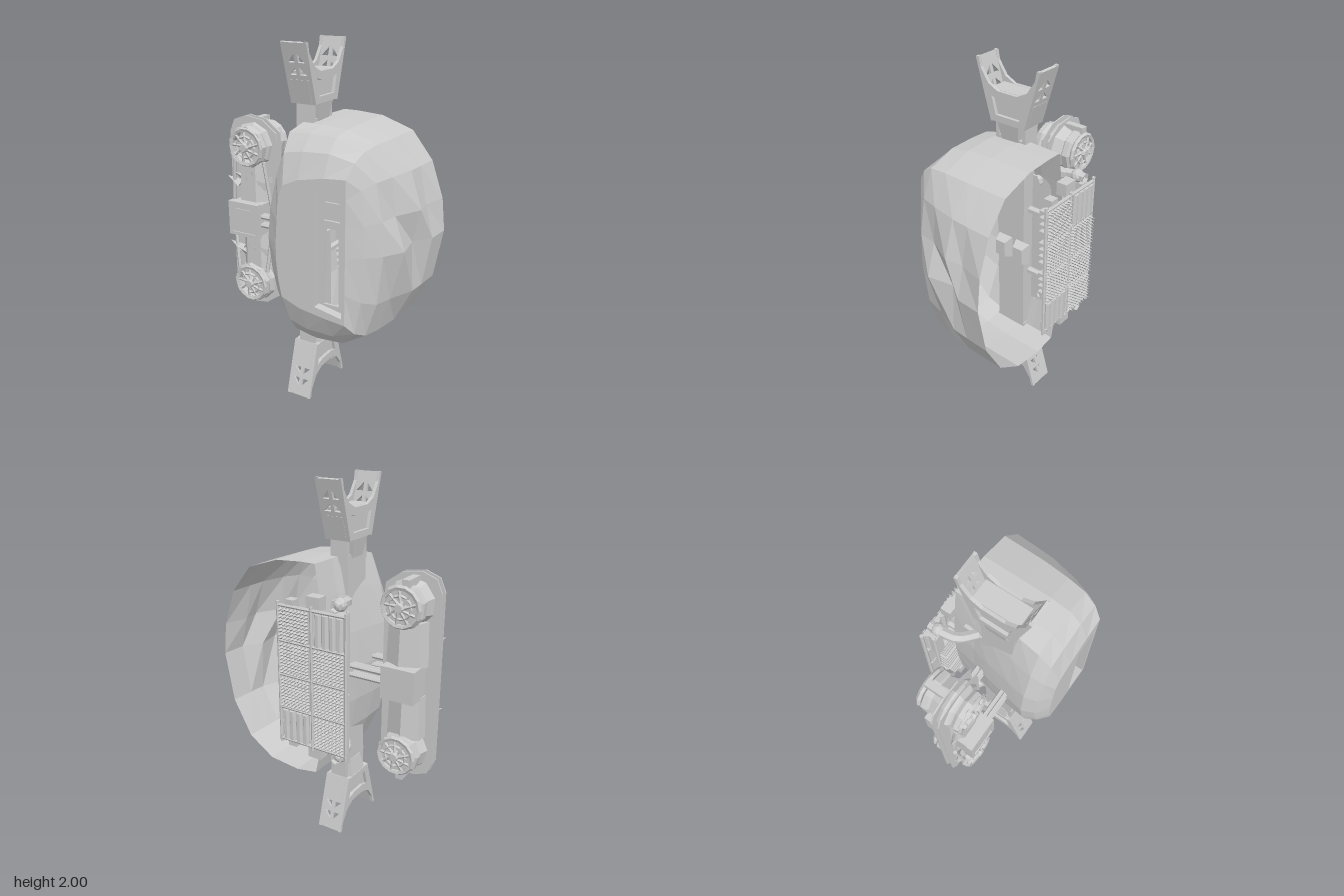
import * as THREE from 'three';
import { mergeGeometries } from 'three/addons/utils/BufferGeometryUtils.js';

const mat = new THREE.MeshStandardMaterial({ color: 0xcccccc, flatShading: true, side: THREE.DoubleSide });
const V = (x, y, z) => new THREE.Vector3(x, y, z);
const toShape = pts => new THREE.Shape(pts.map(p => new THREE.Vector2(...p)));

function add(parent, name, geo, x = 0, y = 0, z = 0) {
  const m = new THREE.Mesh(geo, mat);
  m.name = name;
  m.position.set(x, y, z);
  parent.add(m);
  return m;
}
const box = (parent, name, w, h, d, x, y, z) => add(parent, name, new THREE.BoxGeometry(w, h, d), x, y, z);
function rod(parent, name, a, b, r, sides = 6) {
  const m = add(parent, name, new THREE.CylinderGeometry(r, r, a.distanceTo(b), sides));
  m.position.copy(a).add(b).multiplyScalar(0.5);
  m.quaternion.setFromUnitVectors(V(0, 1, 0), b.clone().sub(a).normalize());
  return m;
}
function plate(pts, depth, holes = []) {
  const s = toShape(pts);
  holes.forEach(h => s.holes.push(toShape(h)));
  return new THREE.ExtrudeGeometry(s, { depth, bevelEnabled: false });
}

// Hollow faceted shell, open at the back, lofted from rim outline to front face
function makeShell() {
  const g = new THREE.Group();
  g.name = 'shell';
  const rim = [[.59, 1], [.57, 1.18], [.5, 1.38], [.38, 1.53], [.2, 1.59], [.05, 1.6], [-.07, 1.6], [-.13, 1.42], [-.18, 1.2],
    [-.2, 1], [-.18, .8], [-.14, .62], [-.05, .42], [.1, .4], [.28, .42], [.43, .52], [.54, .72]];
  const face = [[.32, 1], [.32, 1.15], [.32, 1.3], [.32, 1.4], [.2, 1.39], [.05, 1.36], [-.04, 1.32], [-.07, 1.25], [-.08, 1.13],
    [-.09, 1], [-.09, .9], [-.08, .8], [-.06, .7], [.05, .66], [.2, .64], [.32, .63], [.32, .8]];
  // z, inward blend in x, inward blend in y, bulge of the right-hand wall
  const levels = [[-.26, 0, 0, .5], [-.12, .04, 0, .62], [-.02, .08, 0, .75], [.13, .26, .03, .9],
    [.24, .45, .13, 1], [.31, .7, .45, .85], [.36, 1, 1, 0]];
  const dents = { '2,0': .06, '3,1': .03, '3,0': -.015, '3,16': .02, '1,1': .025 };
  const n = rim.length, pos = [], idx = [];
  levels.forEach(([z, tx, ty, bulge], k) => rim.forEach(([x, y], i) => {
    const lx = x < 0 && tx < 1 ? x * bulge : x + (face[i][0] - x) * tx;
    pos.push(lx - (dents[k + ',' + i] || 0), y + (face[i][1] - y) * ty, z);
    if (k) {
      const a = (k - 1) * n + i, b = (k - 1) * n + (i + 1) % n;
      idx.push(a, b, b + n, a, b + n, a + n);
    }
  }));
  const geo = new THREE.BufferGeometry();
  geo.setAttribute('position', new THREE.Float32BufferAttribute(pos, 3));
  geo.setIndex(idx);
  geo.computeVertexNormals();
  add(g, 'shellWall', geo);

  // Front face with its recessed slot panel
  const recess = [[.14, 1.3], [.29, 1.29], [.305, .66], [.14, .69]];
  const front = toShape(face);
  front.holes.push(toShape(recess));
  add(g, 'frontFace', new THREE.ShapeGeometry(front), 0, 0, .36);
  const lip = toShape(recess);
  lip.holes.push(toShape(recess.map(([x, y]) => [.22 + (x - .22) * .97, 1 + (y - 1) * .99])));
  add(g, 'recessWall', new THREE.ExtrudeGeometry(lip, { depth: .06, bevelEnabled: false }), 0, 0, .3);
  add(g, 'slotPanel', plate(recess, .012, [
    [[.17, 1.26], [.27, 1.26], [.27, 1.16], [.17, 1.16]],
    [[.185, 1.12], [.255, 1.12], [.26, .7], [.17, .7]]]), 0, 0, .3);
  box(g, 'slotBlock', .09, .09, .02, .22, 1.21, .3);
  return g;
}

// Forked foot, drawn upright from the model centre
function makeFork() {
  const g = new THREE.Group();
  const curve = [[.178, 1], [.168, .95], [.12, .88], [.06, .85]];
  const half = [[.105, .69], [.195, 1], ...curve];
  const outline = [...half, ...half.slice().reverse().map(([z, y]) => [-z, y])];
  const flange = plate(outline, .018, [[[-.1, .82], [-.075, .725], [.075, .725], [.1, .82], [.05, .805], [-.05, .805]]]);
  flange.rotateY(-Math.PI / 2);
  add(g, 'forkSide', flange, .075);
  add(g, 'forkSide', flange, -.057);
  const core = plate([[-.1, .69], [.1, .69], [.125, .85], [-.125, .85]], .11);
  core.rotateY(-Math.PI / 2);
  add(g, 'forkCore', core, .055);
  // Sloped outer plates with triangular cut-outs
  const holes = [];
  for (const s of [1, -1]) {
    holes.push([[s * .01, .265], [s * .01, .22], [s * .048, .22]]);
    holes.push([[s * .01, .195], [s * .01, .155], [s * .05, .155]]);
  }
  const outer = plate([[-.075, 0], [.075, 0], [.075, .322], [-.075, .322]], .015, holes);
  outer.rotateX(.283);
  for (const turn of [0, Math.PI]) {
    const side = new THREE.Group();
    side.name = 'forkProng';
    side.rotation.y = turn;
    add(side, 'prongPlate', outer, 0, .69, .092);
    box(side, 'prongPad', .105, .12, .012, 0, .755, .122).rotation.x = .283;
    g.add(side);
  }
  // Ribbed neck
  const neck = new THREE.CylinderGeometry(.106, .08, .1, 4, 1);
  neck.rotateY(Math.PI / 4);
  neck.scale(.95, 1, .9);
  add(g, 'neck', neck, 0, .64);
  for (const z of [-.085, -.03, .03, .085]) box(g, 'neckRib', .1, .13, .022, 0, .63, z);
  box(g, 'post', .1, .62, .18, 0, .3, 0);
  return g;
}

// Wheel-like thruster facing +z
function makeWheel() {
  const g = new THREE.Group();
  g.name = 'wheel';
  add(g, 'wheelRim', new THREE.TorusGeometry(.1, .014, 5, 14));
  add(g, 'wheelInnerRing', new THREE.TorusGeometry(.06, .008, 4, 12), 0, 0, .004);
  const hub = new THREE.CylinderGeometry(.022, .034, .04, 8);
  hub.rotateX(Math.PI / 2);
  add(g, 'wheelHub', hub, 0, 0, .01);
  for (let i = 0; i < 9; i++) {
    const a = i * Math.PI * 2 / 9;
    rod(g, 'wheelSpoke', V(Math.cos(a) * .02, Math.sin(a) * .02, .01), V(Math.cos(a + .3) * .1, Math.sin(a + .3) * .1, 0), .008, 4);
  }
  return g;
}

// Twin pod on struts at the model's right
function makePod() {
  const g = new THREE.Group();
  g.name = 'sidePod';
  const top = [[.155, .44], [.15, .49], [.06, .555], [-.05, .57], [-.13, .54], [-.16, .47]];
  const outline = [...top, ...top.slice().reverse().map(([x, y]) => [x, -y])];
  for (const z of [-.004, .036]) add(g, 'podPlate', plate(outline, .008), 0, 0, z);
  const profile = [[0, -.12], [.09, -.12], [.12, -.1], [.12, -.07], [.108, -.06], [.122, -.02], [.14, .02], [.122, .06],
    [.108, .07], [.12, .09], [.115, .12], [.09, .12], [.085, .09], [0, .09]].map(p => new THREE.Vector2(...p));
  const barrel = new THREE.LatheGeometry(profile, 9);
  barrel.rotateX(Math.PI / 2);
  for (const s of [1, -1]) {
    add(g, 'podBarrel', barrel, 0, s * .41, 0).rotation.z = s * .25;
    const w = makeWheel();
    w.position.set(0, s * .41, .115);
    const back = makeWheel();
    back.position.set(0, s * .41, -.125);
    back.rotation.y = Math.PI;
    g.add(w, back);
    // Tapered body joining the barrel to the middle block
    const body = new THREE.CylinderGeometry(.12, .13, .24, 7);
    body.scale(.95, 1, .8);
    add(g, 'podBody', body, 0, s * .2, 0).rotation.y = s * .4;
    for (let i = 0; i < 6; i++) {
      const x = -.12 + i * .048;
      const spike = add(g, 'podSpike', new THREE.ConeGeometry(.028, .09, 3), x, s * (.2 + .03 * (i % 2)), .08);
      spike.rotation.set(.4, i, (i - 2.5) * -.4);
    }
    rod(g, 'podRail', V(-.13, s * .08, .07), V(-.1, s * .33, .09), .012, 5);
    rod(g, 'podRail', V(.13, s * .08, .07), V(.1, s * .33, .09), .012, 5);
    box(g, 'podCap', .04, .04, .12, -.02, s * .53, -.06);
  }
  // Middle block with raised frame
  box(g, 'middleBlock', .19, .18, .3, 0, 0, .01);
  for (const s of [1, -1]) {
    box(g, 'blockFrame', .02, .2, .035, s * .09, 0, .15);
    box(g, 'blockFrame', .2, .02, .035, 0, s * .09, .15);
  }
  box(g, 'blockFace', .1, .12, .02, 0, 0, .155);
  for (const z of [-.085, -.055, .1, .125]) for (const y of [-.025, .025])
    rod(g, 'strut', V(.08, y, z), V(.34, y, z), .013);
  return g;
}

// Finned radiator bank behind the shell
function makeRadiator() {
  const g = new THREE.Group();
  g.name = 'radiator';
  const spikes = [];
  [-.16, .05].forEach((cx, c) => [-.285, -.095, .095, .285].forEach((cy, r) => {
    const y0 = 1 + cy;
    if ((c === 0 && r === 3) || (c === 1 && r === 0)) {
      for (let i = 0; i < 4; i++) rod(g, 'coolingTube', V(cx - .065 + i * .043, y0 - .085, -.325), V(cx - .065 + i * .043, y0 + .085, -.325), .02, 7);
      return;
    }
    box(g, 'finBase', .18, .17, .015, cx, y0, -.322);
    for (let i = 0; i < 8; i++) for (let j = 0; j < 9; j++) {
      const cone = new THREE.ConeGeometry(.011, .036, 4);
      cone.rotateX(-Math.PI / 2);
      cone.translate(cx - .079 + i * .0226, y0 - .076 + j * .019, -.345);
      spikes.push(cone);
    }
    for (let j = 0; j < 4; j++) box(g, 'coil', .13, .018, .05, cx + (c ? .01 : .04), y0 - .06 + j * .04, -.29);
  }));
  add(g, 'finSpikes', mergeGeometries(spikes));
  for (const x of [-.26, -.055, .15]) rod(g, 'frameUpright', V(x, .6, -.325), V(x, 1.4, -.325), .01);
  for (let r = 0; r < 5; r++) rod(g, 'frameBar', V(-.26, .62 + r * .19, -.325), V(.15, .62 + r * .19, -.325), .009);
  for (const s of [1, -1]) {
    const y = 1 + s * .42;
    box(g, 'endBlock', .08, .07, .06, -.06, y - s * .005, -.29);
    box(g, 'endBlock', .05, .05, .05, .08, y - s * .03, -.3);
    const path = new THREE.CatmullRomCurve3([V(-.19, y, -.32), V(-.19, y, -.25), V(-.17, y - s * .01, -.17), V(-.08, y - s * .04, -.1)]);
    add(g, 'supportArm', new THREE.TubeGeometry(path, 8, .028, 6));
    add(g, 'armJoint', new THREE.IcosahedronGeometry(.037, 1), -.19, y, -.27);
    box(g, 'sideLink', .05, .2, .05, -.21, 1 + s * .28, -.28);
    rod(g, 'sideRod', V(-.235, 1 + s * .05, -.27), V(-.235, y - s * .03, -.27), .01);
    rod(g, 'standoff', V(-.06, 1 + s * .2, -.31), V(-.06, 1 + s * .2, -.05), .022);
  }
  return g;
}

export function createModel() {
  const model = new THREE.Group();
  model.name = 'model';
  model.add(makeShell());
  for (const up of [true, false]) {
    const fork = makeFork();
    fork.name = up ? 'topFork' : 'bottomFork';
    fork.position.set(-.055, 1, .025);
    fork.rotation.z = up ? 0 : Math.PI;
    model.add(fork);
  }
  const pod = makePod();
  pod.position.set(-.445, 1, 0);
  model.add(pod, makeRadiator());
  // Equipment boxes on the inside of the spine
  for (const z of [-.06, .06]) {
    const unit = new THREE.CylinderGeometry(.045, .065, .05, 4);
    unit.rotateY(Math.PI / 4);
    unit.rotateZ(-Math.PI / 2);
    unit.scale(1, 1.4, 1);
    add(model, 'equipmentBox', unit, .02, .95, z);
  }
  box(model, 'spinePlate', .02, .8, .36, -.09, 1, 0);
  return model;
}
